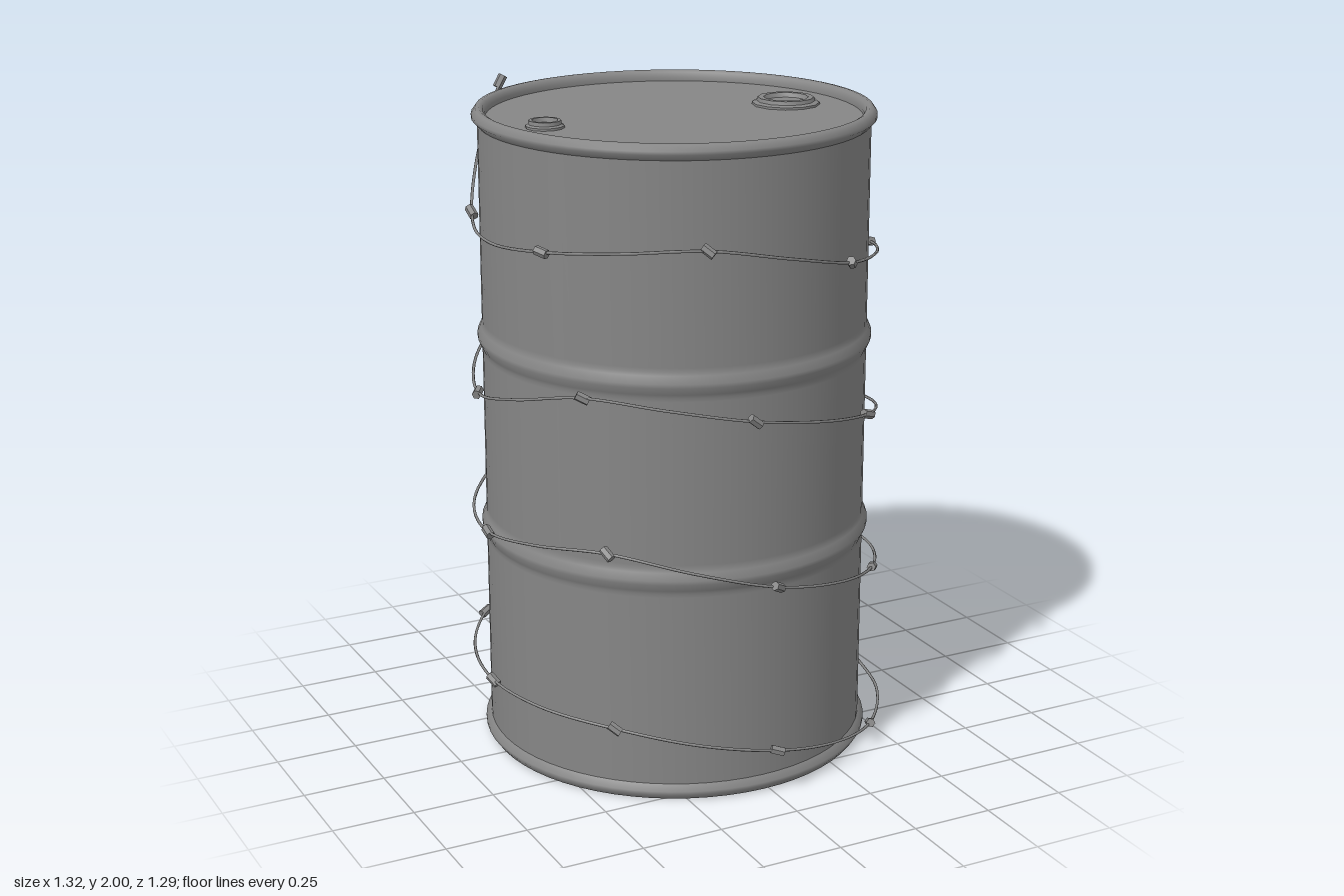
import * as THREE from 'three';
import { toCreasedNormals } from 'three/addons/utils/BufferGeometryUtils.js';

const CX = -0.02; // drum axis
const LID_Y = 1.932;
const material = new THREE.MeshStandardMaterial({ color: 0x868686, side: THREE.DoubleSide });

function addMesh(parent, name, geometry) {
  const mesh = new THREE.Mesh(geometry, material);
  mesh.name = name;
  parent.add(mesh);
  return mesh;
}

function lathe(points, sides, crease) {
  const geometry = new THREE.LatheGeometry(points.map(([r, y]) => new THREE.Vector2(r, y)), sides);
  return toCreasedNormals(geometry, crease);
}

// Outer profile of a soft hoop pressed into the shell
function rib(y) {
  return [[0.578, y - 0.05], [0.578, y - 0.038], [0.582, y - 0.028], [0.592, y - 0.006],
    [0.592, y + 0.006], [0.582, y + 0.028], [0.578, y + 0.038], [0.578, y + 0.05]];
}

// Threaded bung: flared collar with a sunken plug
function addBung(parent, name, x, r, h) {
  const bung = addMesh(parent, name, lathe([
    [r, 0], [r, h * 0.3], [r * 0.86, h * 0.5], [r * 0.83, h],
    [r * 0.66, h], [r * 0.6, h * 0.4], [0, h * 0.4],
  ], 12, 0.6));
  bung.position.set(x, LID_Y, 0);
}

// Wire path as [angle in degrees, height], winding up from the base
const wirePath = [
  [0, 0.09], [45, 0.07], [88, 0.145], [133, 0.24], [178, 0.262], [222, 0.294], [266, 0.375],
  [307, 0.43], [355, 0.525], [401, 0.57], [448, 0.66], [495, 0.78], [541, 0.728], [586, 0.76],
  [631, 0.9], [676, 0.94], [722, 1.0], [768, 1.08], [815, 1.17], [862, 1.235], [910, 1.135],
  [958, 1.25], [1004, 1.39], [1048, 1.43], [1095, 1.52], [1140, 1.57], [1188, 1.67],
  [1235, 1.637], [1285, 1.645], [1315, 1.98],
];

function wirePoint(deg, y) {
  const a = THREE.MathUtils.degToRad(deg);
  const r = 0.6 + 0.03 * (1 - deg / 1315) + 0.025 * Math.max(0, 1 - deg / 60);
  return new THREE.Vector3(r * Math.cos(a), y, r * Math.sin(a));
}

export function createModel() {
  const model = new THREE.Group();
  const drum = new THREE.Group();
  drum.name = 'drum';
  drum.position.x = CX;
  model.add(drum);

  // Shell with two hoops
  addMesh(drum, 'shell', lathe([
    [0.578, 0.04], ...rib(0.69), ...rib(1.28), [0.578, 1.93],
  ], 64, 1.2));

  // Bevelled rims at both ends, mirrored in height
  const rim = [[0.578, 0.05], [0.595, 0.032], [0.595, 0.022], [0.583, 0.005],
    [0.572, 0.003], [0.561, 0.009], [0.555, 0.024], [0.555, 0.036]];
  addMesh(drum, 'bottomRim', lathe([...rim].reverse(), 64, 1));
  addMesh(drum, 'topRim', lathe(rim.map(([r, y]) => [r, 1.968 - y]), 64, 1));

  // Recessed end plates
  const lid = addMesh(drum, 'lid', new THREE.CircleGeometry(0.558, 64));
  lid.rotation.x = -Math.PI / 2;
  lid.position.y = LID_Y;
  const base = addMesh(drum, 'base', new THREE.CircleGeometry(0.558, 64));
  base.rotation.x = Math.PI / 2;
  base.position.y = 0.024;

  // Bungs on the lid
  addBung(drum, 'largeBung', 0.375, 0.102, 0.022);
  addBung(drum, 'smallBung', -0.415, 0.057, 0.022);

  // Wire wound around the drum
  const points = [];
  wirePath.forEach(([deg, y], i) => {
    points.push(wirePoint(deg, y));
    const next = wirePath[i + 1];
    if (!next) return;
    // Midpoint keeps the wire outside the shell between barbs
    const before = wirePath[Math.max(i - 1, 0)];
    const after = wirePath[Math.min(i + 2, wirePath.length - 1)];
    const mid = (9 * (y + next[1]) - before[1] - after[1]) / 16;
    points.push(wirePoint((deg + next[0]) / 2, mid));
  });
  const curve = new THREE.CatmullRomCurve3(points);
  addMesh(drum, 'wire', new THREE.TubeGeometry(curve, 480, 0.0045, 6));

  // Barbs: short stubs twisted across the wire
  const barbGeometry = toCreasedNormals(new THREE.CylinderGeometry(0.014, 0.014, 0.04, 6), 0.9);
  const up = new THREE.Vector3(0, 1, 0);
  wirePath.forEach((_, i) => {
    const p = points[2 * i];
    const outward = new THREE.Vector3(p.x, 0, p.z).normalize();
    // Chord through the neighbouring points gives the wire's direction here
    const ahead = points[Math.min(2 * i + 1, points.length - 1)];
    const behind = points[Math.max(2 * i - 1, 0)];
    const axis = ahead.clone().sub(behind).normalize();
    axis.addScaledVector(outward, 0.5 * Math.sin(i * 2.1));
    axis.y += 0.4 + 0.3 * Math.cos(i * 1.7);
    const barb = addMesh(drum, 'barb', barbGeometry);
    barb.position.copy(p);
    barb.quaternion.setFromUnitVectors(up, axis.normalize());
  });

  return model;
}
